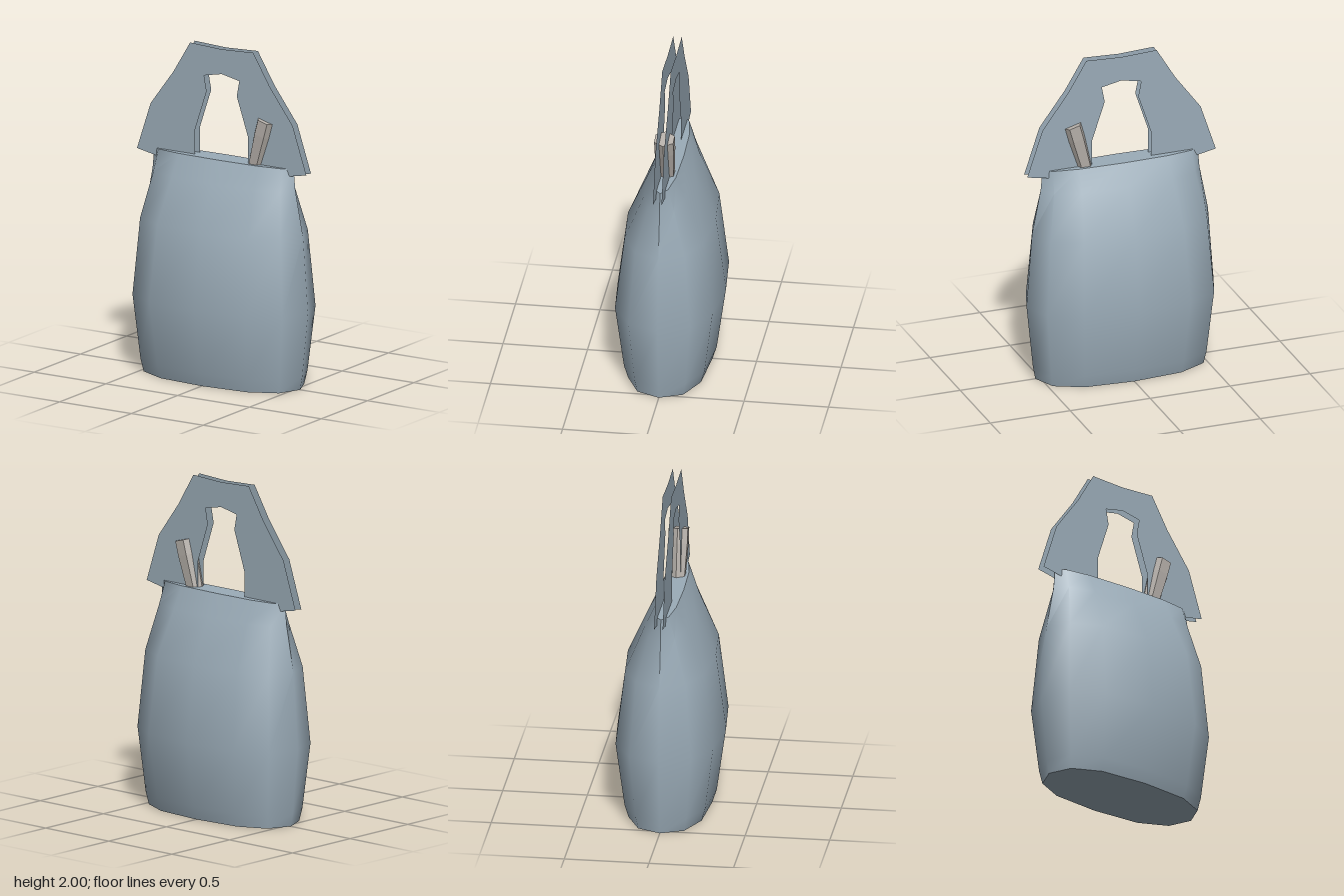
import * as THREE from 'three';
import { toCreasedNormals } from 'three/addons/utils/BufferGeometryUtils.js';

// Faceted oval pouch: one ring per [height, half width, half depth]
function pouchGeometry() {
  const rings = [
    [0, 0.53, 0.24], [0.08, 0.545, 0.265], [0.47, 0.585, 0.32],
    [0.93, 0.55, 0.26], [1.2, 0.497, 0.137], [1.33, 0.485, 0.07],
  ];
  // Quarter outline from the front middle to the side, then mirrored
  const quarter = [[0, 1], [0.57, 0.9], [0.89, 0.565], [1, 0]];
  const outline = [
    ...quarter,
    ...quarter.slice(0, 3).reverse().map(([x, z]) => [x, -z]),
    ...quarter.slice(1).map(([x, z]) => [-x, -z]),
    ...quarter.slice(1, 3).reverse().map(([x, z]) => [-x, z]),
  ];
  const n = outline.length;
  const positions = [];
  const index = [];
  for (const [y, w, d] of rings) {
    for (const [x, z] of outline) positions.push(x * w, y, z * d);
  }
  for (let j = 0; j < rings.length - 1; j++) {
    for (let k = 0; k < n; k++) {
      const a = j * n + k;
      const b = j * n + (k + 1) % n;
      index.push(a, b, b + n, a, b + n, a + n);
    }
  }
  // Flat base and top
  const top = (rings.length - 1) * n;
  for (let k = 1; k < n - 1; k++) {
    index.push(0, k + 1, k);
    index.push(top, top + k, top + k + 1);
  }
  const geometry = new THREE.BufferGeometry();
  geometry.setAttribute('position', new THREE.Float32BufferAttribute(positions, 3));
  geometry.setIndex(index);
  return toCreasedNormals(geometry, THREE.MathUtils.degToRad(55));
}

// Arched handle sheet, open at the bottom between its two legs
function handleGeometry() {
  const half = [
    [0.22, 2], [0.335, 1.81], [0.495, 1.595], [0.59, 1.31], [0.46, 1.285], [0.185, 1.27],
    [0.185, 1.48], [0.105, 1.72], [0.123, 1.815],
  ];
  const points = [
    [0, 1.99], ...half, [0, 1.84],
    ...half.slice().reverse().map(([x, y]) => [-x, y]),
  ].map(([x, y]) => new THREE.Vector2(x, y));
  return new THREE.ShapeGeometry(new THREE.Shape(points));
}

// Six-sided flat-faced prism hanging down from y = top
function hexPrism(radiusTop, radiusBottom, height, top) {
  const g = new THREE.CylinderGeometry(radiusTop, radiusBottom, height, 6, 1, false, Math.PI / 6);
  g.translate(0, top - height / 2, 0);
  return toCreasedNormals(g, 0.3);
}

export function createModel() {
  const cloth = new THREE.MeshStandardMaterial({ color: 0x9bacb8, side: THREE.DoubleSide });
  cloth.name = 'greyBlueCloth';
  const wood = new THREE.MeshStandardMaterial({ color: 0xb5afa9 });
  wood.name = 'paleGreyWood';

  const model = new THREE.Group();
  model.name = 'bag';
  const add = (parent, name, geometry, material) => {
    const mesh = new THREE.Mesh(geometry, material);
    mesh.name = name;
    parent.add(mesh);
    return mesh;
  };

  add(model, 'pouch', pouchGeometry(), cloth);

  // Pair of thin handle sheets
  const sheet = handleGeometry();
  add(model, 'frontHandle', sheet, cloth).position.z = 0.025;
  add(model, 'backHandle', sheet, cloth).position.z = -0.025;

  // Leaning stick poking out of the pouch
  const stick = new THREE.Group();
  stick.name = 'stick';
  add(stick, 'stickTip', hexPrism(0.065, 0.065, 0.09, 0), wood);
  add(stick, 'stickShaft', hexPrism(0.065, 0.05, 0.26, -0.09), wood);
  stick.position.set(0.304, 1.597, 0);
  stick.rotation.z = -THREE.MathUtils.degToRad(15.5);
  model.add(stick);

  return model;
}
